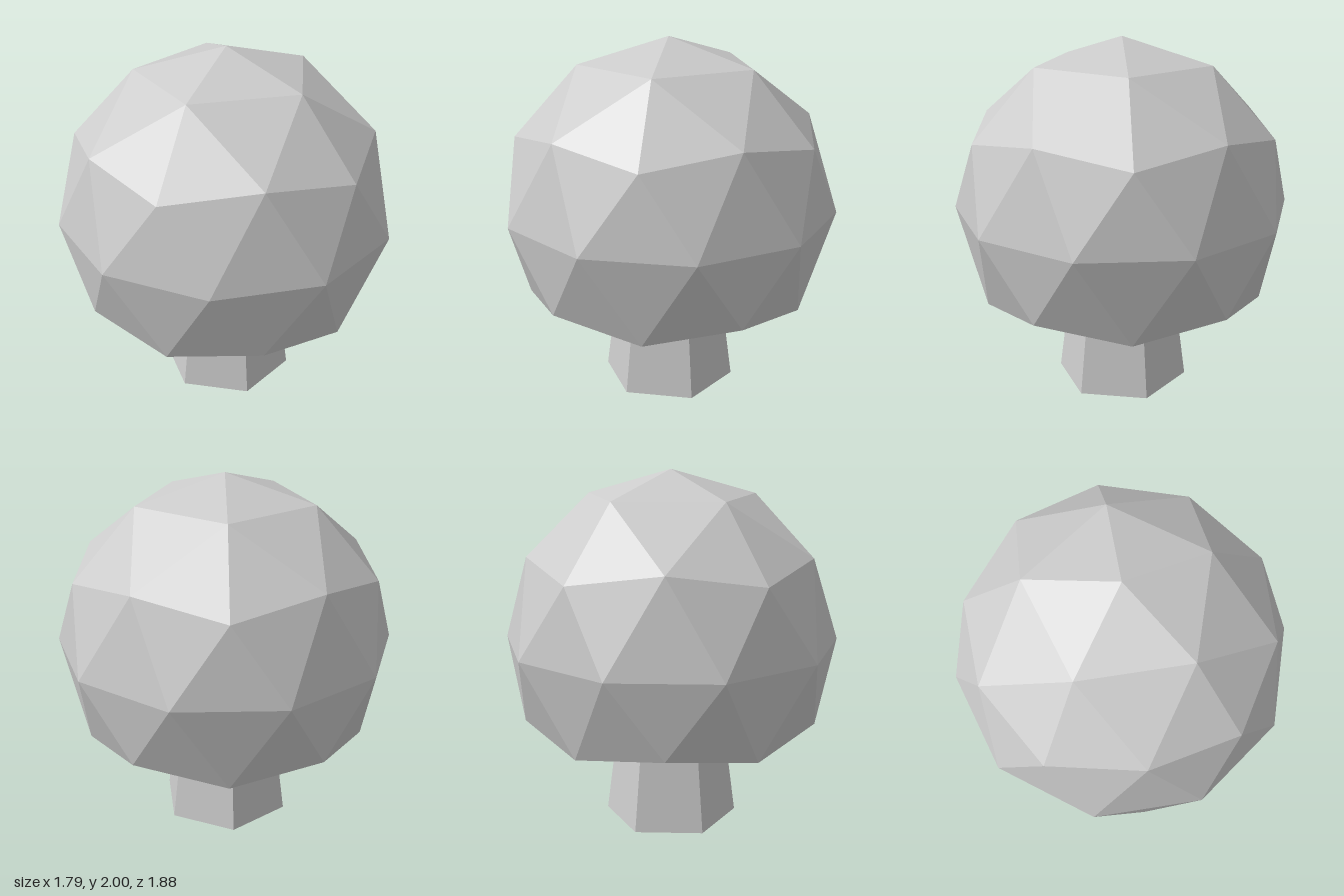
import * as THREE from 'three';

const material = new THREE.MeshStandardMaterial({ color: 0xcccccc, flatShading: true });

// Faceted ball standing on one corner, its underside flattened
function crownGeometry(radius) {
  const geometry = new THREE.IcosahedronGeometry(radius, 1);
  geometry.rotateZ(-Math.atan(2 / (1 + Math.sqrt(5))));
  const floor = -0.5257 * radius;
  const p = geometry.attributes.position;
  for (let i = 0; i < p.count; i++) {
    if (p.getY(i) > floor - 0.01) continue;
    // Spread the lowest ring onto the straight rim edges of the flat base
    p.setXYZ(i, p.getX(i) * 1.309, floor, p.getZ(i) * 1.309);
  }
  geometry.computeVertexNormals();
  return geometry;
}

export function createModel() {
  const model = new THREE.Group();
  model.name = 'tree';

  const crown = new THREE.Mesh(crownGeometry(0.94), material);
  crown.name = 'crown';
  crown.position.y = 1.06;

  // Tapered six-sided trunk, its top just inside the crown
  const height = 0.6;
  const trunk = new THREE.Mesh(new THREE.CylinderGeometry(0.3, 0.38, height, 6), material);
  trunk.name = 'trunk';
  trunk.position.y = height / 2;

  model.add(crown, trunk);
  return model;
}
